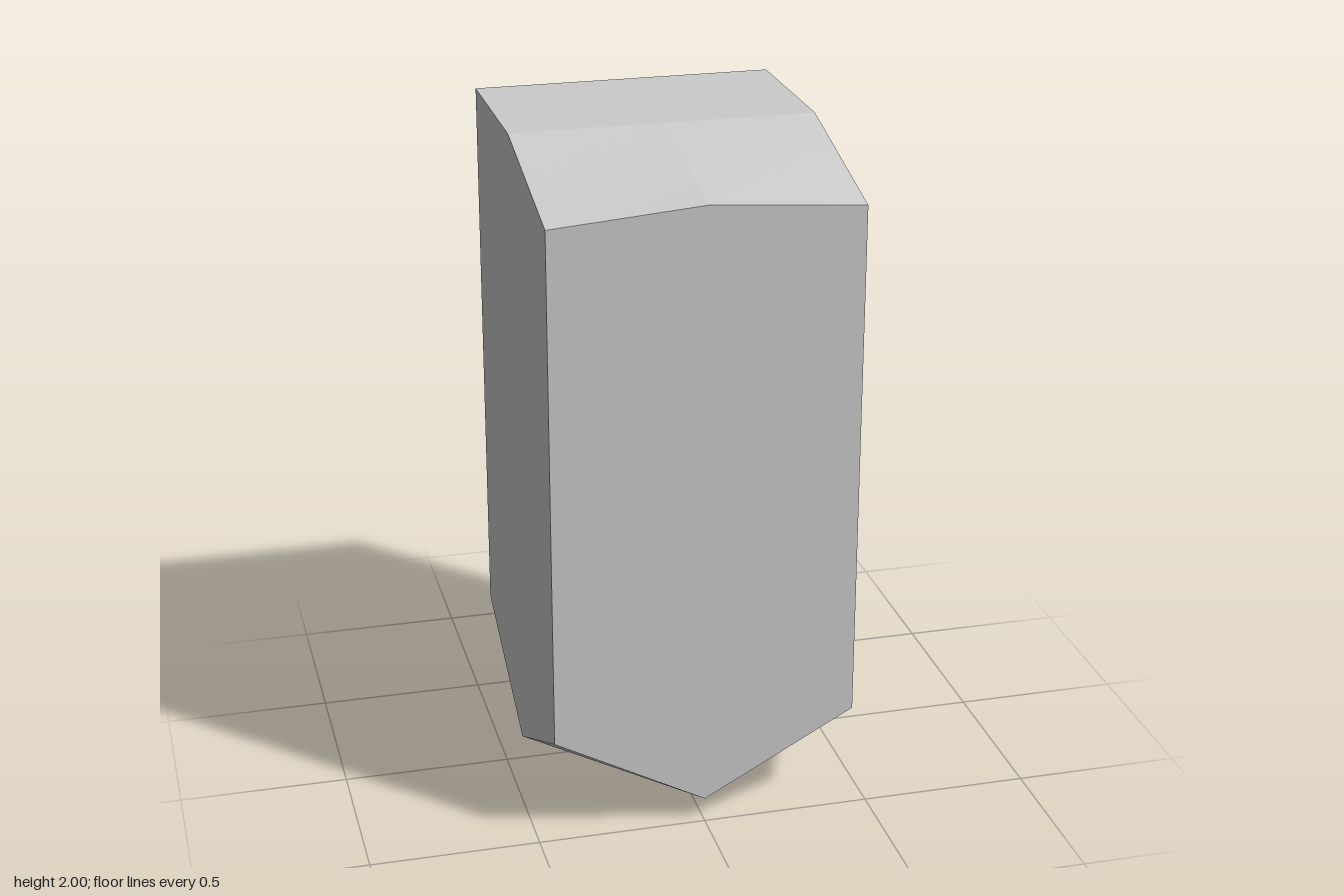
import * as THREE from 'three';

const W = 0.45, D = 0.5; // half width and half depth

export function createModel() {
  const group = new THREE.Group();
  group.name = 'crystalPrism';
  const material = new THREE.MeshStandardMaterial({ color: 0xcccccc, flatShading: true });
  const parts = { facetedBase: [], walls: [], topCap: [] };

  // Each part is a quarter, mirrored into the four quadrants
  for (const sx of [1, -1]) for (const sz of [1, -1]) {
    const face = (part, ...pts) => {
      const p = pts.map(([x, y, z]) => [x * sx, y, z * sz]);
      if (sx * sz < 0) p.reverse();
      for (let i = 1; i < p.length - 1; i++) parts[part].push(...p[0], ...p[i], ...p[i + 1]);
    };
    const front = sz > 0;
    const tip = [0, 0, 0], lowMid = [0, 0.075, D], lowSide = [W, 0.075, 0], lowCorner = [W, 0.32, D];
    const topMid = [0, front ? 1.91 : 2, D], topSide = [W, 2, 0], topCorner = [W, front ? 1.875 : 2, D];

    // Underside: shallow central pyramid with steep corner facets
    face('facetedBase', tip, lowSide, lowMid);
    face('facetedBase', lowSide, lowCorner, lowMid);

    // Upright walls
    face('walls', lowMid, lowCorner, topCorner, topMid);
    face('walls', lowCorner, lowSide, topSide, topCorner);

    // Top: level at the back, gently twisted slope at the front
    const n = front ? 12 : 1;
    const at = (i, j) => {
      const u = i / n, v = j / n;
      return [W * u, 2 + v * (topMid[1] + (topCorner[1] - topMid[1]) * u - 2), D * v];
    };
    for (let i = 0; i < n; i++) for (let j = 0; j < n; j++)
      face('topCap', at(i, j), at(i, j + 1), at(i + 1, j + 1), at(i + 1, j));
  }

  for (const [name, points] of Object.entries(parts)) {
    const geometry = new THREE.BufferGeometry();
    geometry.setAttribute('position', new THREE.Float32BufferAttribute(points, 3));
    geometry.computeVertexNormals();
    const mesh = new THREE.Mesh(geometry, material);
    mesh.name = name;
    group.add(mesh);
  }
  return group;
}
